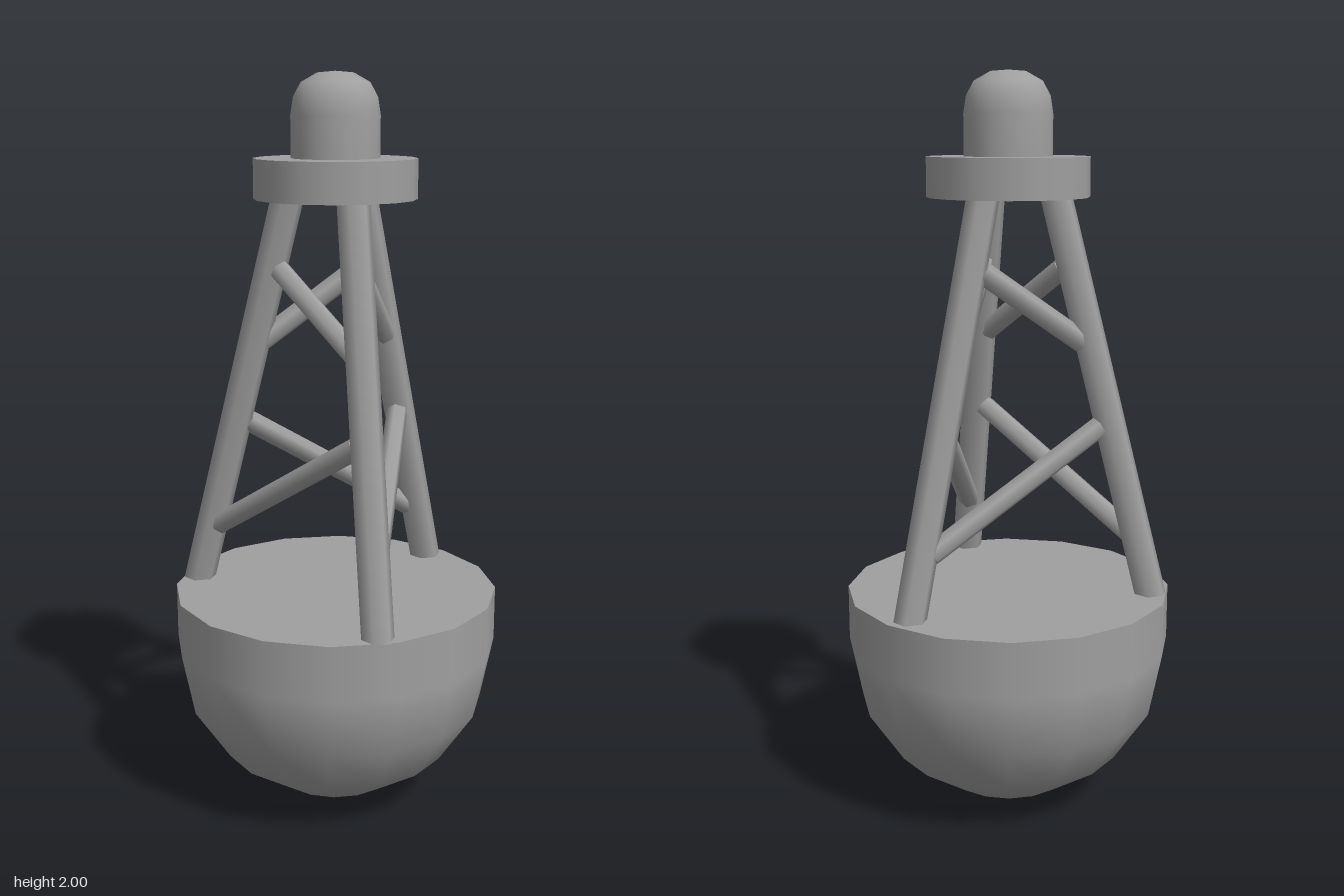
import * as THREE from 'three';

const material = new THREE.MeshStandardMaterial({ color: 0x9f9f9f });

function add(parent, name, geometry, y = 0) {
  const mesh = new THREE.Mesh(geometry, material);
  mesh.name = name;
  mesh.position.y = y;
  parent.add(mesh);
  return mesh;
}

// Cylinder running from a to b
function rod(parent, name, a, b, radius, sides) {
  const dir = b.clone().sub(a);
  const geometry = new THREE.CylinderGeometry(radius, radius, dir.length(), sides);
  geometry.rotateY(Math.PI / 2);
  const mesh = add(parent, name, geometry);
  mesh.position.copy(a).add(b).multiplyScalar(0.5);
  mesh.quaternion.setFromUnitVectors(new THREE.Vector3(0, 1, 0), dir.normalize());
  return mesh;
}

// Point on the axis of leg i (0 = back) at height y
function legPoint(i, y) {
  const radius = 0.395 - ((y - 0.6) * 0.274) / 1.08;
  return new THREE.Vector3(-0.022, y, -radius)
    .applyAxisAngle(new THREE.Vector3(0, 1, 0), (i * Math.PI * 2) / 3);
}

export function createModel() {
  const buoy = new THREE.Group();
  buoy.name = 'buoy';

  // Float: round bowl with a short straight wall and a flat deck
  const float = new THREE.Group();
  float.name = 'float';
  buoy.add(float);
  const R = 0.448;
  add(float, 'floatBowl',
    new THREE.SphereGeometry(R, 16, 4, 0, Math.PI * 2, Math.PI / 2, Math.PI / 2), 0.45);
  add(float, 'floatWall', new THREE.CylinderGeometry(R, R, 0.152, 16, 1, true), 0.526);
  const deck = new THREE.CircleGeometry(R, 16);
  deck.rotateX(-Math.PI / 2);
  add(float, 'floatDeck', deck, 0.602);

  // Three-legged tower with two diagonal braces per side
  const tower = new THREE.Group();
  tower.name = 'tower';
  tower.position.set(0.005, 0, 0.01);
  buoy.add(tower);
  for (let i = 0; i < 3; i++) {
    const leg = rod(tower, 'leg', legPoint(i, 0.59), legPoint(i, 1.7), 0.044, 6);
    // Keep the same face of every leg turned outwards
    leg.quaternion.multiply(
      new THREE.Quaternion().setFromAxisAngle(new THREE.Vector3(0, 1, 0), (i * Math.PI * 2) / 3));
    for (const [name, y0, y1] of [['lowerBrace', 0.75, 1.085], ['upperBrace', 1.51, 1.275]]) {
      const a = legPoint(i, y0);
      const b = legPoint(i + 1, y1);
      const inset = b.clone().sub(a).setLength(0.035);
      rod(tower, name, a.add(inset), b.sub(inset), 0.03, 6);
    }
  }

  // Lantern platform
  add(buoy, 'platform', new THREE.CylinderGeometry(0.216, 0.216, 0.105, 16), 1.7285);

  // Lantern with a softly squared dome
  const profile = [[0.117, 1.778], [0.117, 1.89], [0.11, 1.935], [0.09, 1.972], [0.047, 1.996], [0, 2]]
    .map(([r, y]) => new THREE.Vector2(r, y));
  add(buoy, 'lantern', new THREE.LatheGeometry(profile, 16));

  return buoy;
}
